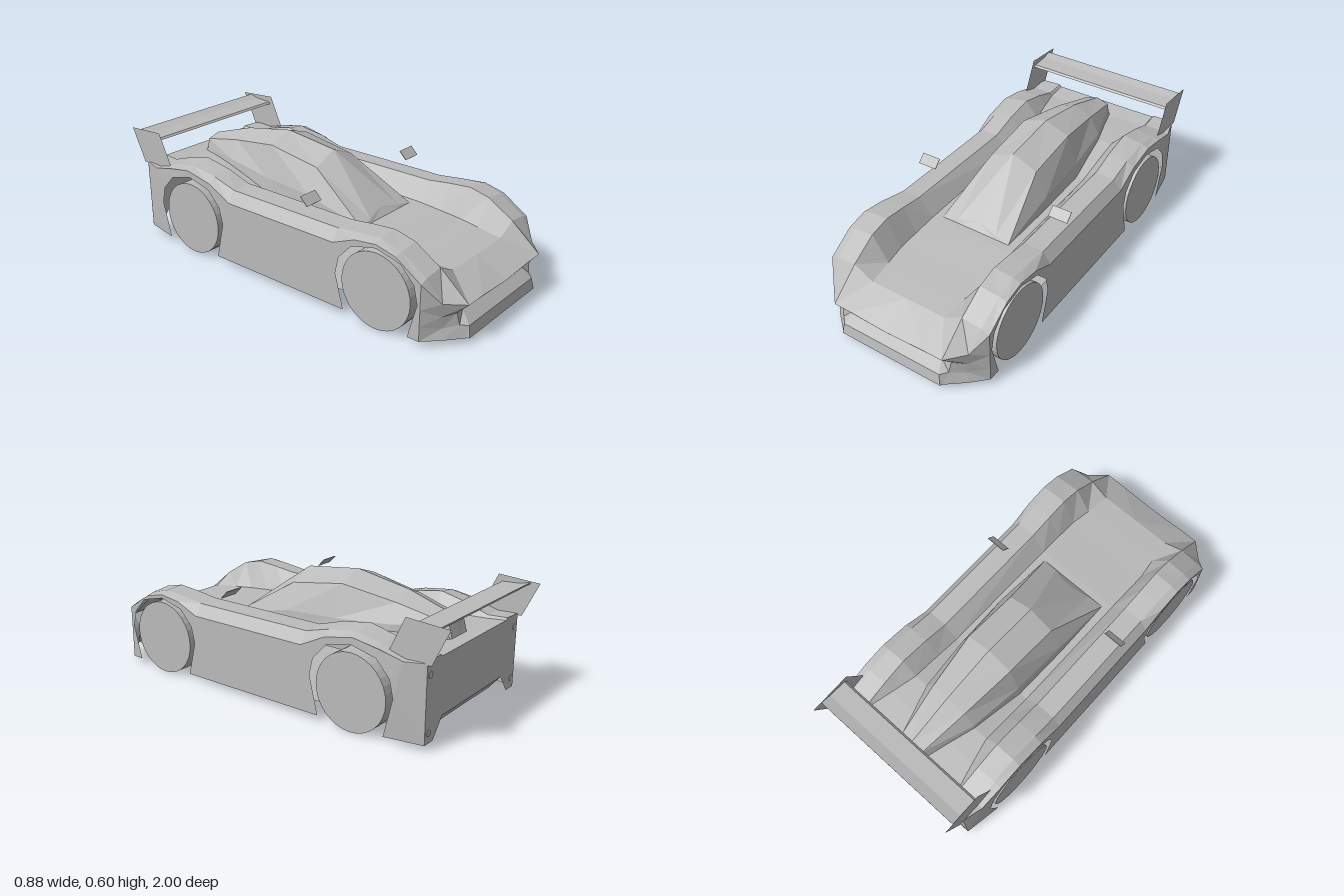
import * as THREE from 'three';

const paint = new THREE.MeshStandardMaterial({ color: 0xbbbbbb, flatShading: true, side: THREE.DoubleSide });
paint.name = 'grey';

// Copy of a non-indexed geometry reflected in x, with the winding put right
function mirrored(geo) {
  const g = geo.clone();
  const p = g.attributes.position;
  for (let i = 0; i < p.count; i += 3) {
    const t = [0, 1, 2].map(k => [-p.getX(i + k), p.getY(i + k), p.getZ(i + k)]);
    t.reverse().forEach((v, k) => p.setXYZ(i + k, ...v));
  }
  g.computeVertexNormals();
  return g;
}

// Skin between rows of [x, y, z] points
function skin(rows) {
  const out = [];
  for (let i = 0; i < rows.length - 1; i++) {
    for (let j = 0; j < rows[i].length - 1; j++) {
      const a = rows[i][j], b = rows[i][j + 1], c = rows[i + 1][j + 1], d = rows[i + 1][j];
      out.push(...a, ...d, ...c, ...a, ...c, ...b);
    }
  }
  const g = new THREE.BufferGeometry();
  g.setAttribute('position', new THREE.Float32BufferAttribute(out, 3));
  g.computeVertexNormals();
  return g;
}

const outline = pts => new THREE.Shape(pts.map(p => new THREE.Vector2(...p)));

export function createModel() {
  const car = new THREE.Group();
  car.name = 'raceCar';
  const add = (name, geo) => {
    const m = new THREE.Mesh(geo, paint);
    m.name = name;
    car.add(m);
    return m;
  };
  const addPair = (name, geo) => {
    add(name + 'Left', geo);
    add(name + 'Right', mirrored(geo));
  };

  // Upper body: z, side edge y, shoulder y, fender ridge y, valley x, valley y
  const stations = [
    [0.85, 0.30, 0.315, 0.325, 0.20, 0.272],
    [0.72, 0.385, 0.395, 0.405, 0.215, 0.283],
    [0.615, 0.41, 0.425, 0.43, 0.23, 0.29],
    [0.50, 0.395, 0.415, 0.42, 0.23, 0.30],
    [0.38, 0.345, 0.40, 0.405, 0.23, 0.31],
    [-0.27, 0.345, 0.40, 0.405, 0.23, 0.33],
    [-0.40, 0.41, 0.435, 0.445, 0.23, 0.36],
    [-0.55, 0.44, 0.455, 0.47, 0.23, 0.39],
    [-0.68, 0.42, 0.43, 0.44, 0.26, 0.39],
    [-0.80, 0.39, 0.395, 0.40, 0.29, 0.385],
    [-0.90, 0.395, 0.40, 0.405, 0.29, 0.395],
  ];
  const sideX = z => 0.44 - 0.27 * Math.max(0, -0.78 - z);
  const nose = [[0.44, 0.30, 0.85], [0.38, 0.21, 0.92], [0.30, 0.20, 1], [0.20, 0.20, 1], [0, 0.19, 1]];
  addPair('upperBody', skin([nose, ...stations.map(([z, y1, y2, y3, x4, y4]) =>
    [[sideX(z), y1, z], [0.40, y2, z], [0.30, y3, z], [x4, y4, z], [0, y4, z]])]));

  // Side panels with wheel arches
  const halfArch = [[0.175, 0.03], [0.22, 0.20], [0.20, 0.285], [0.13, 0.36]];
  const arch = (z, lift) => [
    ...halfArch.map(([d, y], i) => [z - d, i ? y + lift : y]),
    [z, 0.392 + lift],
    ...halfArch.map(([d, y], i) => [z + d, i ? y + lift : y]).reverse(),
  ];
  const panel = new THREE.ShapeGeometry(outline([
    [-0.90, 0.03], ...arch(-0.54, 0.015), ...arch(0.615, 0), [0.85, 0.03],
    ...stations.map(s => [s[0], s[1]]),
  ])).toNonIndexed();
  const pp = panel.attributes.position;
  for (let i = 0; i < pp.count; i++) {
    const z = pp.getX(i);
    pp.setXYZ(i, -sideX(z), pp.getY(i), z);
  }
  panel.computeVertexNormals();
  addPair('sidePanel', mirrored(panel));

  // Front bumper with a slot and corner intakes
  addPair('frontBumper', skin([
    [[0, 0.19, 1], [0.25, 0.20, 1], [0.30, 0.20, 1], [0.38, 0.21, 0.92], [0.44, 0.30, 0.85]],
    [[0, 0.137, 0.94], [0.25, 0.137, 0.94], [0.31, 0.15, 0.95], [0.37, 0.14, 0.91], [0.44, 0.18, 0.85]],
    [[0, 0.085, 0.99], [0.27, 0.085, 0.99], [0.30, 0.09, 0.96], [0.36, 0.08, 0.91], [0.44, 0.10, 0.85]],
    [[0, 0.03, 1], [0.28, 0.03, 1], [0.285, 0.03, 0.99], [0.37, 0.03, 0.92], [0.44, 0.03, 0.85]],
  ]));

  // Floor with a short, steep diffuser
  addPair('floor', skin([
    [[0, 0.03, 1], [0.28, 0.03, 1]],
    [[0, 0.03, 0.82], [0.30, 0.03, 0.82]],
    [[0, 0.03, -0.82], [0.32, 0.03, -0.82]],
    [[0, 0.12, -0.90], [0.27, 0.12, -0.90]],
  ]));

  // Rear panel with a notch, and round lights
  const rearHalf = [[0.27, 0.12], [0.34, 0.03], [0.408, 0.03], [0.408, 0.395], [0.40, 0.40], [0.30, 0.405], [0.29, 0.395]];
  const rear = new THREE.ShapeGeometry(outline([...rearHalf, ...rearHalf.map(([x, y]) => [-x, y]).reverse()]));
  add('rearPanel', rear.rotateY(Math.PI).translate(0, 0, -0.90));
  for (const s of [1, -1]) for (const y of [0.08, 0.34]) {
    add('rearLight', new THREE.CylinderGeometry(0.016, 0.016, 0.003, 12).rotateX(Math.PI / 2))
      .position.set(s * 0.38, y, -0.901);
  }

  // Cabin: base, waist, roof edge and centre line from front to tail
  addPair('cabin', skin([
    [[0.19, 0.305, 0.345], [0.19, 0.31, 0.345], [0.10, 0.31, 0.345], [0, 0.31, 0.345]],
    [[0.19, 0.305, 0.344], [0.19, 0.312, 0.343], [0.11, 0.325, 0.335], [0, 0.345, 0.31]],
    [[0.195, 0.315, 0.02], [0.19, 0.385, 0.02], [0.13, 0.51, 0.02], [0, 0.565, 0.02]],
    [[0.19, 0.325, -0.27], [0.18, 0.40, -0.27], [0.13, 0.555, -0.27], [0, 0.60, -0.27]],
    [[0.155, 0.38, -0.55], [0.15, 0.42, -0.55], [0.10, 0.51, -0.55], [0, 0.55, -0.55]],
    [[0.08, 0.38, -0.80], [0.075, 0.40, -0.80], [0.065, 0.45, -0.80], [0, 0.47, -0.80]],
    [[0.08, 0.38, -0.82], [0.075, 0.38, -0.82], [0.065, 0.38, -0.82], [0, 0.38, -0.82]],
  ]));

  // Rear wing blade, extruded across the car
  const blade = outline([[-0.95, 0.55], [-0.88, 0.53], [-0.80, 0.53], [-0.81, 0.54], [-0.90, 0.545], [-0.95, 0.558]]);
  add('wing', new THREE.ExtrudeGeometry(blade, { depth: 0.82, bevelEnabled: false })
    .rotateY(-Math.PI / 2).translate(0.41, 0, 0));

  // Raked sheet end plates that carry the wing
  const plate = outline([[-0.92, 0.39], [-0.70, 0.38], [-0.79, 0.573], [-1, 0.56]]);
  for (const x of [0.41, -0.41]) {
    add('wingEndPlate', new THREE.ShapeGeometry(plate).rotateY(-Math.PI / 2)).position.x = x;
  }

  // Mirrors and wheels
  for (const s of [1, -1]) {
    const mirror = add('mirror', new THREE.BoxGeometry(0.10, 0.055, 0.003));
    mirror.position.set(s * 0.375, 0.482, 0.20);
    mirror.rotation.x = -0.78;
    for (const z of [0.615, -0.54]) {
      add('wheel', new THREE.CylinderGeometry(0.185, 0.185, 0.137, 32).rotateZ(Math.PI / 2))
        .position.set(s * 0.37, 0.185, z);
    }
  }
  return car;
}
